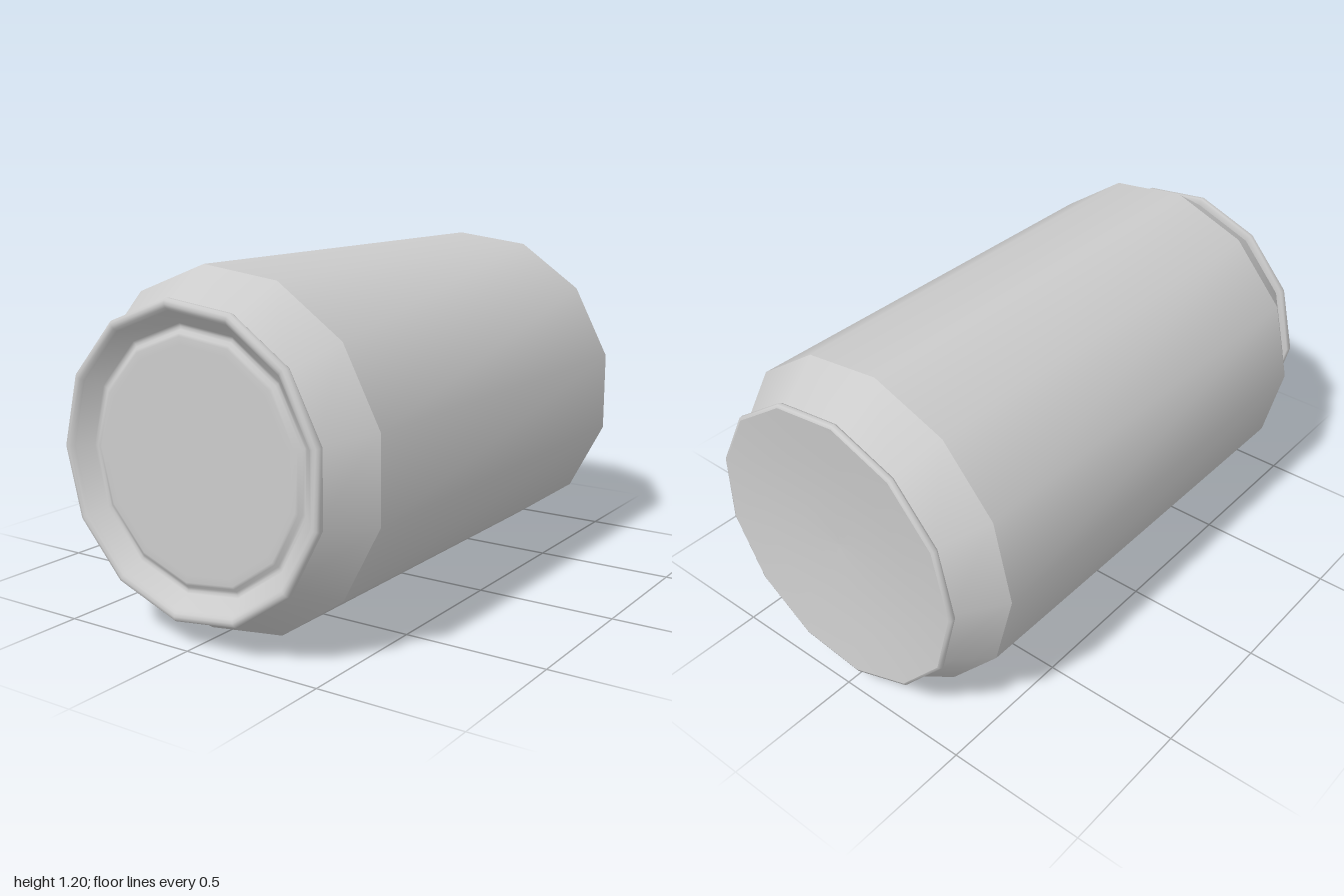
import * as THREE from 'three';

const SIDES = 13;
const material = new THREE.MeshStandardMaterial({ color: 0xcccccc });

// Smooth ring of revolution around z; each point is [radius, z], listed back to front on the outside.
function ring(name, points) {
  const profile = points.map(([r, z]) => new THREE.Vector2(r, z));
  const geometry = new THREE.LatheGeometry(profile, SIDES, -Math.PI / 2, Math.PI * 2);
  geometry.rotateX(Math.PI / 2);
  const mesh = new THREE.Mesh(geometry, material);
  mesh.name = name;
  return mesh;
}

export function createModel() {
  const can = new THREE.Group();
  can.name = 'drinkCan';

  // Separate rings keep the shoulder edges crisp
  can.add(
    ring('bottomPanel', [[0, -0.965], [0.17, -0.969], [0.34, -0.982], [0.505, -1]]),
    ring('bottomRim', [[0.505, -1], [0.514, -0.996], [0.516, -0.985], [0.512, -0.977], [0.495, -0.973]]),
    ring('bottomShoulder', [[0.495, -0.973], [0.602, -0.82]]),
    ring('body', [[0.602, -0.82], [0.602, 0.8]]),
    ring('topShoulder', [[0.602, 0.8], [0.492, 0.968]]),
    // Rolled lip, sloping inner wall, shallow groove and raised lid panel
    ring('topRim', [[0.492, 0.968], [0.512, 0.969], [0.516, 0.976], [0.516, 0.99], [0.509, 0.998],
      [0.498, 1], [0.487, 0.996], [0.478, 0.986]]),
    ring('lid', [[0.478, 0.986], [0.435, 0.942], [0.425, 0.938], [0.415, 0.94], [0.405, 0.949],
      [0.395, 0.952], [0.37, 0.952], [0, 0.952]]),
  );

  // The odd side count puts the axis slightly off the middle of the width
  can.position.set(0.009, 0.598, 0);
  const model = new THREE.Group();
  model.name = 'can';
  model.add(can);
  return model;
}
